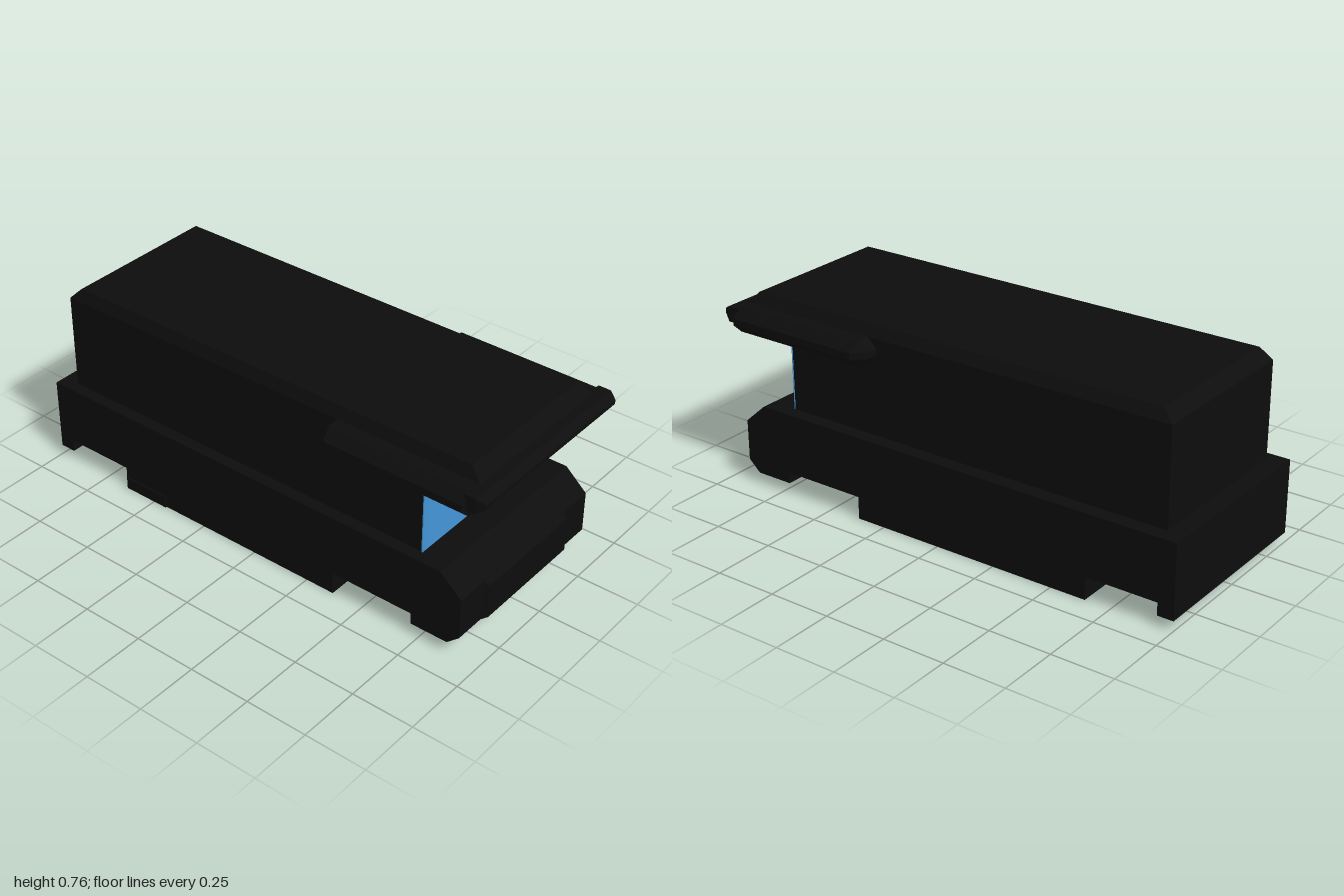
import * as THREE from 'three';
import { ConvexGeometry } from 'three/addons/geometries/ConvexGeometry.js';

export function createModel() {
  const model = new THREE.Group();
  const black = new THREE.MeshStandardMaterial({ color: 0x0d0d0d });
  black.name = 'black shell';
  const blue = new THREE.MeshStandardMaterial({ color: 0x4496d9 });
  blue.name = 'blue glass';

  // Faceted convex block from [x, y, halfWidth] corners mirrored across z
  function block(name, corners, material = black, zMid = 0) {
    const points = [];
    for (const [x, y, w] of corners) {
      points.push(new THREE.Vector3(x, y, zMid + w), new THREE.Vector3(x, y, zMid - w));
    }
    const mesh = new THREE.Mesh(new ConvexGeometry(points), material);
    mesh.name = name;
    model.add(mesh);
    return mesh;
  }

  function box(name, x0, x1, y0, y1, z0, z1) {
    const mesh = new THREE.Mesh(new THREE.BoxGeometry(x1 - x0, y1 - y0, z1 - z0), black);
    mesh.position.set((x0 + x1) / 2, (y0 + y1) / 2, (z0 + z1) / 2);
    mesh.name = name;
    model.add(mesh);
  }

  const W = 0.388, mid = -0.005;

  // Lower hull with its bevelled nose
  block('lowerHull', [
    [-1, 0.09, W], [-1, 0.335, W], [0.83, 0.335, W],
    [0.92, 0.255, W], [0.92, 0.09, W],
  ], black, mid);
  block('noseUnderside', [
    [0.715, 0.09, W], [0.92, 0.09, W], [0.715, 0.045, W], [0.87, 0.045, W],
  ], black, mid);
  block('nosePlate', [
    [0.915, 0.255, 0.255], [0.94, 0.24, 0.24],
    [0.915, 0.085, 0.255], [0.94, 0.1, 0.24],
  ]);

  // Underside: rear lip, middle skirt and the beam between the corner pockets
  box('rearLip', -1, -0.935, 0.04, 0.09, mid - W, mid + W);
  box('middleSkirt', -0.645, 0.37, 0, 0.09, mid - W, mid + W);
  box('centreBeam', -0.93, 0.718, 0, 0.09, -0.08, 0.08);
  box('skirtPlate', -0.64, -0.44, 0, 0.05, 0.382, 0.389);

  // Upper body with bevelled roof edges
  block('upperBody', [
    [-0.93, 0.33, 0.336], [0.718, 0.33, 0.336],
    [-0.93, 0.72, 0.336], [0.718, 0.72, 0.336],
    [-0.885, 0.765, 0.315], [0.718, 0.765, 0.315],
  ]);
  block('roofFront', [
    [0.6, 0.7, 0.336], [0.935, 0.72, 0.336], [0.935, 0.7, 0.336], [0.6, 0.72, 0.336],
    [0.6, 0.765, 0.315], [0.89, 0.765, 0.315],
  ]);

  // Overhanging canopy, tapered at its back end
  block('canopy', [
    [0.35, 0.617, 0.385], [0.93, 0.617, 0.385],
    [0.36, 0.655, 0.425], [0.93, 0.655, 0.425],
    [0.36, 0.682, 0.425], [0.93, 0.682, 0.425],
    [0.35, 0.72, 0.385], [0.93, 0.72, 0.385],
    [0.31, 0.682, 0.375], [0.31, 0.655, 0.375],
  ]);
  block('canopyFrontBevel', [
    [0.92, 0.617, 0.385], [0.92, 0.72, 0.385],
    [0.935, 0.625, 0.385], [0.96, 0.655, 0.385], [0.935, 0.72, 0.385],
  ]);
  block('visor', [
    [0.92, 0.655, 0.405], [0.97, 0.655, 0.405], [1, 0.68, 0.39],
    [1, 0.697, 0.39], [0.97, 0.716, 0.405], [0.92, 0.716, 0.405],
  ]);

  // Bevelled window in the front end
  block('frontWindow', [
    [0.718, 0.333, 0.338], [0.718, 0.612, 0.338],
    [0.722, 0.333, 0.338], [0.722, 0.612, 0.338],
    [0.732, 0.348, 0.325], [0.732, 0.6, 0.325],
  ], blue);

  return model;
}
